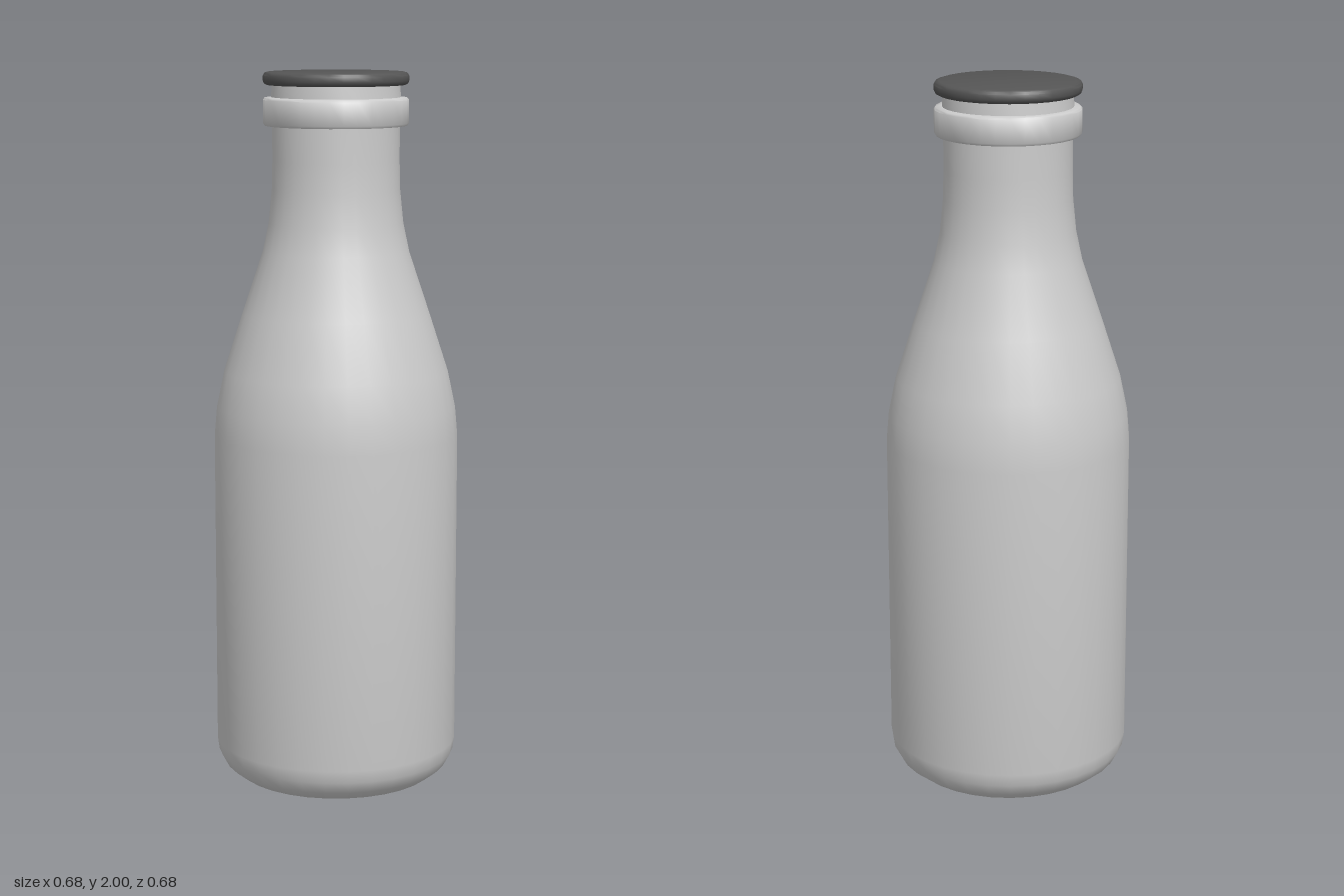
import * as THREE from 'three';
import { toCreasedNormals } from 'three/addons/utils/BufferGeometryUtils.js';

const SIDES = 32;

// Revolve a profile of [radius, height] points, listed from bottom to top.
function turned(name, profile, color) {
  const points = profile.map(([r, y]) => new THREE.Vector2(r, y));
  const geometry = toCreasedNormals(new THREE.LatheGeometry(points, SIDES), 0.8);
  const mesh = new THREE.Mesh(geometry, new THREE.MeshStandardMaterial({ color }));
  mesh.name = name;
  return mesh;
}

export function createModel() {
  const bottle = new THREE.Group();
  bottle.name = 'milkBottle';

  // Glass body: rounded base, straight wall, sloping shoulder, narrow neck
  bottle.add(turned('body', [
    [0, 0.005], [0.2, 0.005], [0.235, 0.008], [0.28, 0.022], [0.316, 0.05], [0.335, 0.085], [0.34, 0.12],
    [0.34, 1.0], [0.333, 1.08], [0.312, 1.18], [0.26, 1.34], [0.203, 1.51],
    [0.186, 1.59], [0.177, 1.68], [0.175, 1.76], [0.175, 1.86],
  ], 0xcccccc));

  // Raised lip around the mouth, with the short collar above it
  bottle.add(turned('lip', [
    [0.17, 1.855], [0.195, 1.855], [0.2, 1.862], [0.2, 1.925], [0.196, 1.93],
    [0.178, 1.932], [0.175, 1.97], [0, 1.97],
  ], 0xcccccc));

  // Thin dark disc cap with a rounded rim
  bottle.add(turned('cap', [
    [0, 1.965], [0.19, 1.965], [0.197, 1.969], [0.2, 1.977],
    [0.2, 1.99], [0.196, 1.997], [0.186, 2.0], [0, 2.0],
  ], 0x555555));

  return bottle;
}
